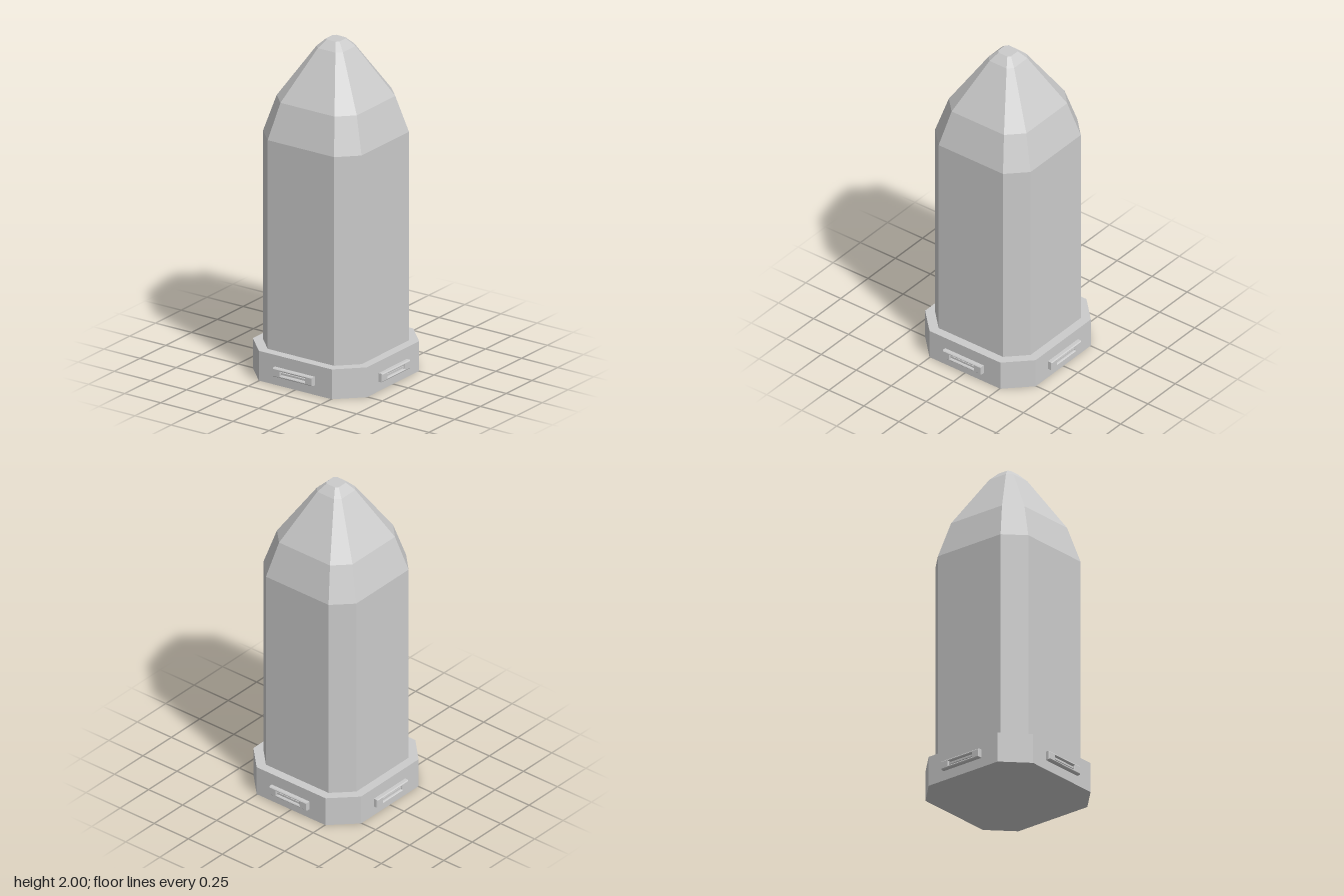
import * as THREE from 'three';

const grey = new THREE.MeshStandardMaterial({ color: 0xcccccc, flatShading: true });

// Square with cut corners: h = half width, c = half length of the flat sides
function ring([y, h, c]) {
  return [[h, c], [c, h], [-c, h], [-h, c], [-h, -c], [-c, -h], [c, -h], [h, -c]]
    .map(([x, z]) => new THREE.Vector3(x, y, z));
}

// Faceted solid through a stack of cut-corner sections, closed at both ends
function loft(sections) {
  const rings = sections.map(ring);
  const points = [];
  for (let r = 0; r < rings.length - 1; r++) {
    const lo = rings[r], hi = rings[r + 1];
    for (let i = 0; i < 8; i++) {
      const j = (i + 1) % 8;
      points.push(lo[i], hi[j], lo[j], lo[i], hi[i], hi[j]);
    }
  }
  const bottom = rings[0], top = rings[rings.length - 1];
  for (let i = 1; i < 7; i++) {
    points.push(bottom[0], bottom[i], bottom[i + 1]);
    points.push(top[0], top[i + 1], top[i]);
  }
  const geometry = new THREE.BufferGeometry().setFromPoints(points);
  geometry.computeVertexNormals();
  return geometry;
}

function part(name, geometry) {
  const mesh = new THREE.Mesh(geometry, grey);
  mesh.name = name;
  return mesh;
}

function rectangle(target, w, h) {
  target.moveTo(-w, -h).lineTo(w, -h).lineTo(w, h).lineTo(-w, h).closePath();
  return target;
}

// Bevelled slot frame with a bar inside, fixed to one flat side of the base
function createSlot() {
  const slot = new THREE.Group();
  const outline = rectangle(new THREE.Shape(), 0.133, 0.021);
  outline.holes.push(rectangle(new THREE.Path(), 0.089, 0.017));
  const frame = part('slotFrame', new THREE.ExtrudeGeometry(outline, {
    depth: 0.025, bevelEnabled: true, bevelThickness: 0.005, bevelSize: 0.005, bevelSegments: 1,
  }));
  frame.position.z = 0.391;
  const bar = part('slotBar', new THREE.BoxGeometry(0.18, 0.012, 0.024));
  bar.position.z = 0.402;
  slot.add(frame, bar);
  slot.position.set(-0.003, 0.084, 0);
  return slot;
}

export function createModel() {
  const model = new THREE.Group();
  model.name = 'obelisk';

  model.add(part('base', loft([[0, 0.395, 0.253], [0.18, 0.395, 0.253]])));

  // Straight shaft running into the stepped, tapering tip
  model.add(part('shaft', loft([
    [0.17, 0.341, 0.23], [1.44, 0.341, 0.23], [1.655, 0.277, 0.187],
    [1.955, 0.091, 0.061], [2, 0.046, 0.031],
  ])));

  // One slot on each flat side of the base
  ['front', 'left', 'back', 'right'].forEach((side, i) => {
    const holder = new THREE.Group();
    holder.name = `${side}Slot`;
    holder.rotation.y = i * Math.PI / 2;
    holder.add(createSlot());
    model.add(holder);
  });
  return model;
}
